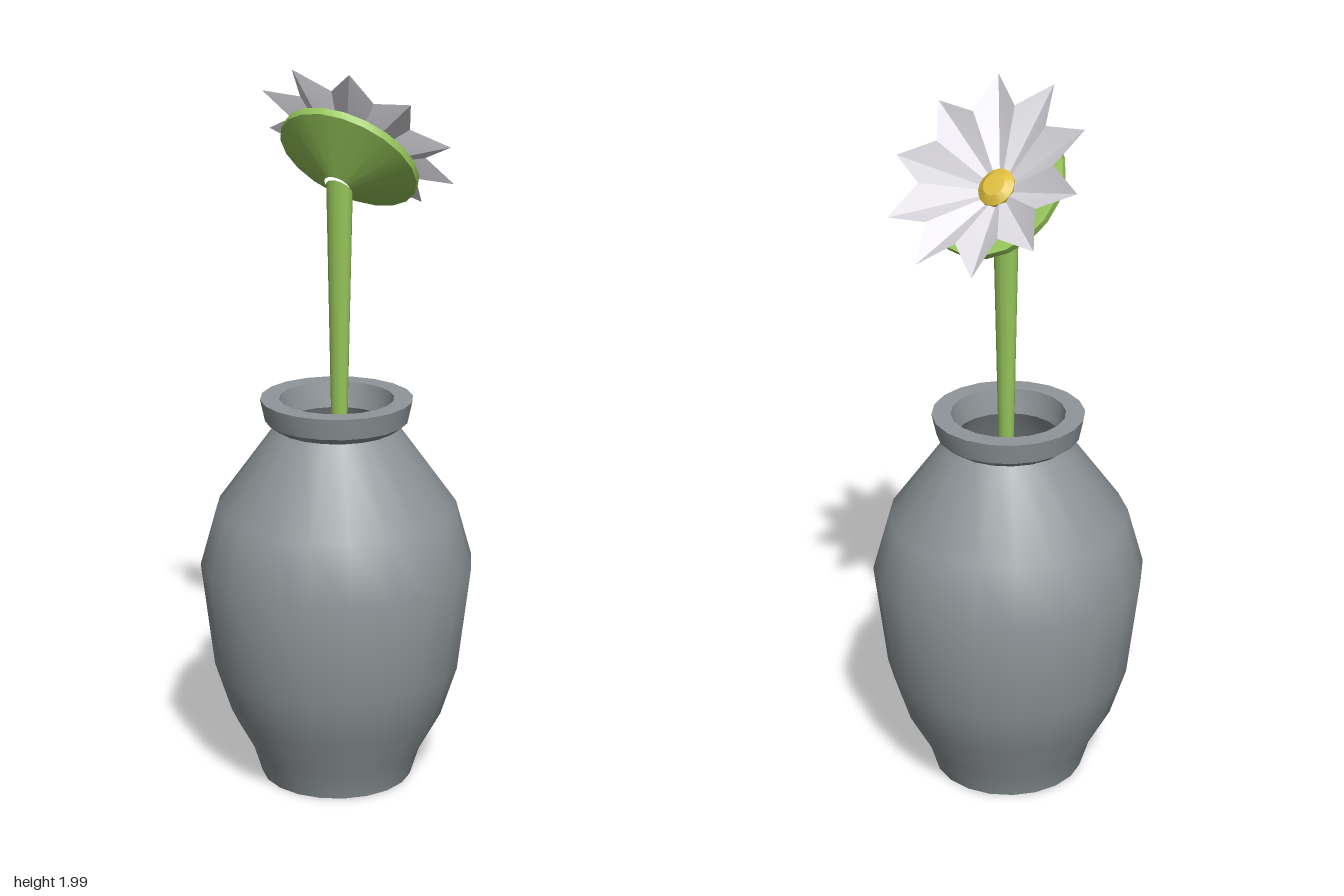
import * as THREE from 'three';
import { toCreasedNormals } from 'three/addons/utils/BufferGeometryUtils.js';

const material = (name, color, side = THREE.FrontSide) => {
  const m = new THREE.MeshStandardMaterial({ color, side });
  m.name = name;
  return m;
};

const mesh = (name, geometry, mat) => {
  const m = new THREE.Mesh(geometry, mat);
  m.name = name;
  return m;
};

// Turned shape from [radius, height] points, with sharp edges kept
const turned = (points, sides = 20, crease = 0.62) => toCreasedNormals(
  new THREE.LatheGeometry(points.map(([r, y]) => new THREE.Vector2(r, y)), sides), crease);

export function createModel() {
  const model = new THREE.Group();
  model.name = 'flowerInVase';

  const grey = material('vase grey', 0x8f9699);
  const green = material('stem green', 0x96c65a);
  const white = material('petal white', 0xdad8de, THREE.DoubleSide);
  const yellow = material('centre yellow', 0xdcbc3c);

  // Vase: up the outside, over the rim and down the inside
  model.add(mesh('vase', turned([
    [0, 0], [0.21, 0], [0.235, 0.08], [0.295, 0.19], [0.34, 0.33], [0.375, 0.625],
    [0.33, 0.785], [0.168, 1.01], [0.195, 1.03], [0.208, 1.09],
    [0.156, 1.09], [0.143, 1.02], [0.29, 0.77], [0.335, 0.62], [0.3, 0.34], [0.19, 0.06], [0, 0.05],
  ]), grey));

  // Stem: tapered, its top ring cut on the slant to meet the flower
  const stem = new THREE.CylinderGeometry(0.037, 0.012, 1.17, 12, 2, true);
  stem.scale(1, 1, 0.76);
  stem.translate(0.02, 1.085, 0.02);
  const pos = stem.attributes.position;
  for (let i = 0; i < pos.count; i++) {
    if (pos.getY(i) > 1.6) pos.setY(i, pos.getY(i) + pos.getZ(i) - 0.02);
  }
  model.add(mesh('stem', stem, green));

  // Flower head: built facing +y, then tilted towards the back
  const flower = new THREE.Group();
  flower.name = 'flowerHead';
  flower.position.set(0.02, 1.79, -0.08);
  flower.rotation.x = -0.795;
  flower.scale.z = 1.075;
  model.add(flower);

  // Green cup under the petals
  flower.add(mesh('flowerCup', turned([
    [0.036, -0.156], [0.191, -0.076], [0.191, -0.056], [0.178, -0.056], [0, -0.125],
  ]), green));

  // Ten pointed petals: a shallow cone whose rim alternates tips and notches
  const petals = new THREE.LatheGeometry(
    [new THREE.Vector2(0.276, 0), new THREE.Vector2(0, -0.1)], 20, Math.PI / 2);
  const p = petals.attributes.position;
  for (let i = 0; i <= 20; i++) {
    const k = i % 2 ? 0.188 / 0.276 : 1;
    p.setXYZ(2 * i, p.getX(2 * i) * k, 0, p.getZ(2 * i) * k);
  }
  flower.add(mesh('petals', toCreasedNormals(petals, 0.7), white));

  // Low domed centre
  flower.add(mesh('flowerCentre', turned([
    [0.05, -0.09], [0.05, -0.073], [0.03, -0.057], [0, -0.055],
  ], 20, 0.5), yellow));

  return model;
}
